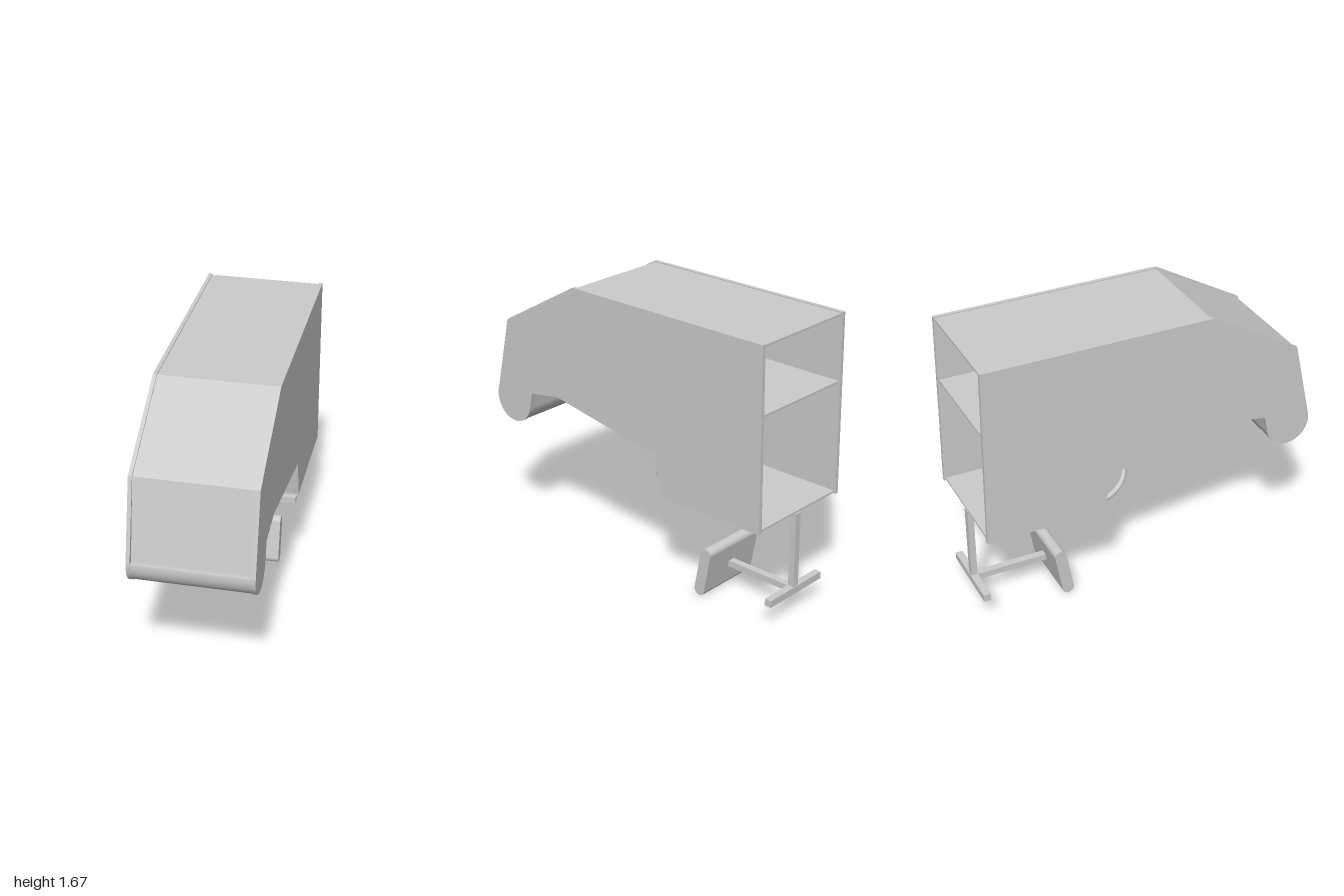
import * as THREE from 'three';

const mat = new THREE.MeshStandardMaterial({ color: 0xcccccc, side: THREE.DoubleSide });
const W = 0.345, T = 0.022; // half width of the cabinet, side panel thickness

export function createModel() {
  const model = new THREE.Group();

  function add(name, geometry, parent = model) {
    const mesh = new THREE.Mesh(geometry, mat);
    mesh.name = name;
    parent.add(mesh);
    return mesh;
  }
  // Extrudes a (z, y) shape across x, centred on cx
  function across(shape, width, cx = 0) {
    return new THREE.ExtrudeGeometry(shape, { depth: width, bevelEnabled: false, curveSegments: 20 })
      .translate(0, 0, -width / 2).rotateY(-Math.PI / 2).translate(cx, 0, 0);
  }
  const polygon = pts => new THREE.Shape(pts.map(p => new THREE.Vector2(...p)));
  // Thin sheet between two (z, y) points, thickened to its left
  function panel(name, [z1, y1], [z2, y2], t = 0.012) {
    const l = Math.hypot(z2 - z1, y2 - y1);
    const nz = -(y2 - y1) / l * t, ny = (z2 - z1) / l * t;
    add(name, across(polygon([[z1, y1], [z2, y2], [z2 + nz, y2 + ny], [z1 + nz, y1 + ny]]), 2 * (W - T)));
  }
  function box(name, w, h, d, x, y, z) {
    add(name, new THREE.BoxGeometry(w, h, d).translate(x, y, z));
  }
  function rod(name, a, b, r1, r2, parent) {
    const dir = b.clone().sub(a);
    const m = add(name, new THREE.CylinderGeometry(r2, r1, dir.length(), 10), parent);
    m.position.copy(a).addScaledVector(dir, 0.5);
    m.quaternion.setFromUnitVectors(new THREE.Vector3(0, 1, 0), dir.normalize());
  }

  // Side panels with a rounded nose
  const side = new THREE.Shape();
  side.moveTo(0.892, 1.36);
  side.lineTo(0.35, 1.67);
  side.lineTo(-0.99, 1.67);
  side.lineTo(-1, 0.615);
  side.lineTo(-0.305, 0.61);
  side.lineTo(-0.258, 0.85);
  side.lineTo(0.5, 0.98);
  side.lineTo(0.708, 0.943);
  side.absarc(0.863, 0.867, 0.137, Math.PI + 0.1, 2 * Math.PI + 0.2, false);
  side.closePath();
  for (const s of [-1, 1]) add(s > 0 ? 'leftPanel' : 'rightPanel', across(side, T, s * (W - T / 2)));

  // Shell sheets between the sides
  panel('frontPanel', [0.972, 0.885], [0.886, 1.355]);
  panel('frontSlope', [0.886, 1.355], [0.345, 1.664]);
  panel('roof', [0.345, 1.664], [-0.985, 1.664]);
  panel('floor', [-0.99, 0.62], [-0.3, 0.62]);
  panel('kneeWall', [-0.3, 0.62], [-0.262, 0.857]);
  panel('underPanel', [-0.262, 0.857], [0.12, 0.922]);
  panel('shelf', [-0.985, 1.27], [0.895, 1.27]);

  // Rounded nose with a narrow ledge on top
  const nose = new THREE.Shape();
  nose.moveTo(0.994, 0.885);
  nose.lineTo(0.96, 0.885);
  nose.lineTo(0.715, 0.943);
  nose.absarc(0.863, 0.867, 0.134, Math.PI + 0.1, 2 * Math.PI + 0.13, false);
  add('nose', across(nose, 2 * (W - T)));

  // Curved hood recessed above the opening
  const hoodCurve = new THREE.SplineCurve([[0.12, 0.922], [0.2, 1.15], [0.42, 1.25], [0.63, 1.17], [0.715, 0.943]]
    .map(p => new THREE.Vector2(...p)));
  const hood = new THREE.PlaneGeometry(2 * (W - T), 1, 1, 32);
  const hp = hood.attributes.position;
  for (let i = 0; i < hp.count; i++) {
    const p = hoodCurve.getPoint(hp.getY(i) + 0.5);
    hp.setXYZ(i, hp.getX(i), p.y, p.x);
  }
  hood.computeVertexNormals();
  add('hood', hood);

  // Steering mount on the knee wall
  add('steeringMount', across(polygon([[-0.262, 0.825], [-0.293, 0.655], [-0.2, 0.713]]), 0.165));

  // Steering wheel, its local y running up its axis to the mount
  const wheel = new THREE.Group();
  wheel.name = 'steeringWheel';
  wheel.position.set(0, 0.57, -0.173);
  wheel.rotation.x = -0.563;
  model.add(wheel);
  add('rim', new THREE.TorusGeometry(0.159, 0.016, 12, 48).rotateX(Math.PI / 2), wheel);
  add('hub', new THREE.CylinderGeometry(0.05, 0.05, 0.03, 6).translate(0, 0.122, 0), wheel);
  for (let i = 0; i < 3; i++) {
    const a = i * Math.PI * 2 / 3, s = Math.sin(a), c = Math.cos(a);
    rod('spoke', new THREE.Vector3(0.155 * s, 0, 0.155 * c),
      new THREE.Vector3(0.04 * s, 0.115, 0.04 * c), 0.007, 0.012, wheel);
  }

  // Rear post, crossbar and arm
  box('post', 0.042, 0.49, 0.036, 0, 0.37, -0.975);
  box('crossbar', 0.445, 0.042, 0.042, 0, 0.147, -0.977);
  box('arm', 0.042, 0.038, 0.45, 0, 0.147, -0.74);

  // Tilted board with rounded ends
  const r = 0.035, h = 0.119;
  const board = new THREE.Shape();
  board.absarc(0, h, r, 0, Math.PI, false);
  board.absarc(0, -h, r, Math.PI, 2 * Math.PI, false);
  board.closePath();
  const boardMesh = add('board', across(board, 0.415));
  boardMesh.position.set(0, 0.152, -0.496);
  boardMesh.rotation.x = -0.18;

  return model;
}
